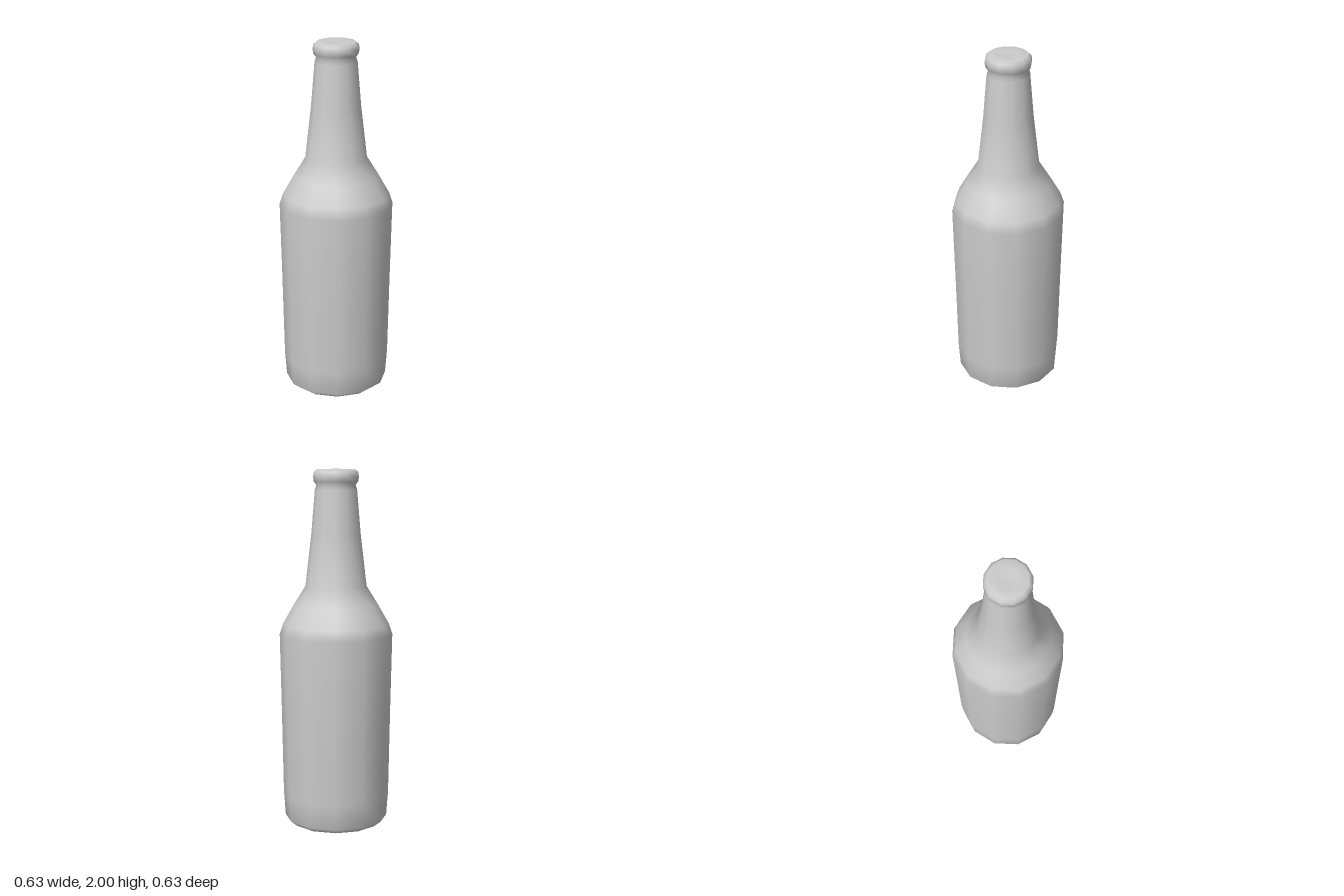
import * as THREE from 'three';

// Twelve-sided bottle with smooth shading, turned from one profile
export function createModel() {
  const group = new THREE.Group();
  group.name = 'bottle';
  const material = new THREE.MeshStandardMaterial({ color: 0xcccccc });

  const turn = (name, profile) => {
    const points = profile.map(([r, y]) => new THREE.Vector2(r, y));
    const mesh = new THREE.Mesh(new THREE.LatheGeometry(points, 12), material);
    mesh.name = name;
    group.add(mesh);
  };

  turn('bottleBody', [
    // base
    [0, 0], [0.2, 0], [0.25, 0.01], [0.288, 0.04], [0.298, 0.18],
    // side wall
    [0.306, 0.65], [0.315, 1.09],
    // shoulder
    [0.295, 1.15], [0.235, 1.255], [0.17, 1.36],
    // neck
    [0.136, 1.65], [0.116, 1.89], [0.108, 1.915],
    // rolled lip and closed top
    [0.122, 1.935], [0.126, 1.96], [0.122, 1.985], [0.105, 2], [0.06, 1.997], [0, 1.995],
  ]);

  return group;
}
